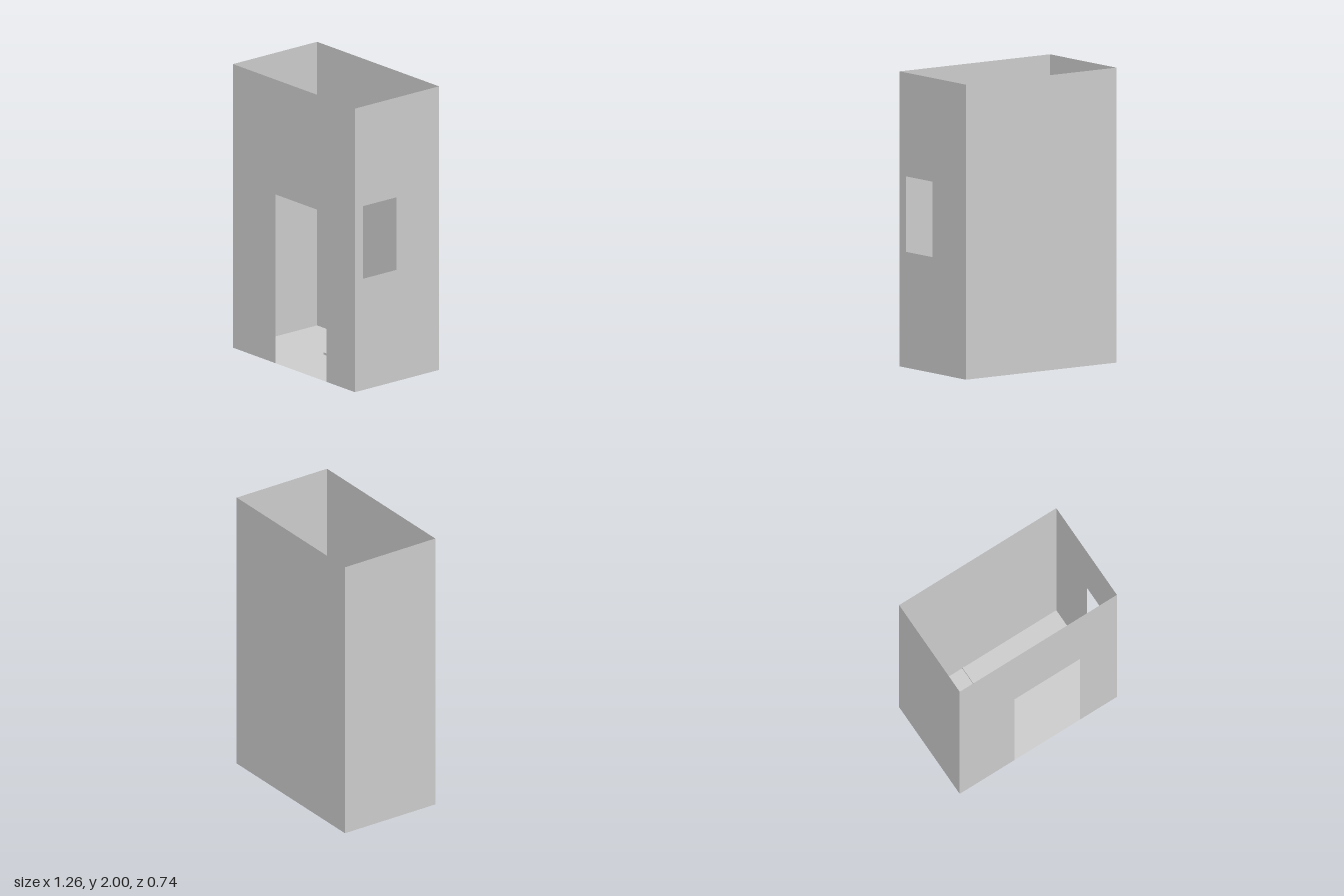
import * as THREE from 'three';

const W = 1.26, H = 2, D = 0.74;

export function createModel() {
  const group = new THREE.Group();
  const sheet = new THREE.MeshStandardMaterial({ color: 0xcccccc, side: THREE.DoubleSide });
  const solid = new THREE.MeshStandardMaterial({ color: 0xcccccc });

  const polygon = (points, Type = THREE.Shape) => new Type(points.map(([x, y]) => new THREE.Vector2(x, y)));
  const rectangle = (x0, y0, x1, y1, Type) => polygon([[x0, y0], [x1, y0], [x1, y1], [x0, y1]], Type);

  // Thin panel placed on one side of the room, facing outwards
  function panel(name, shape, position, rotX, rotY) {
    const mesh = new THREE.Mesh(new THREE.ShapeGeometry(shape), sheet);
    mesh.name = name;
    mesh.position.set(...position);
    mesh.rotation.set(rotX, rotY, 0);
    group.add(mesh);
  }

  // Front wall, notched by the doorway
  const front = polygon([
    [-W / 2, 0], [-0.19, 0], [-0.19, 1.19], [0.335, 1.19],
    [0.335, 0], [W / 2, 0], [W / 2, H], [-W / 2, H],
  ]);
  panel('frontWall', front, [0, 0, D / 2], 0, 0);

  // Side wall with the window opening
  const side = rectangle(-D / 2, 0, D / 2, H);
  side.holes.push(rectangle(-0.297, 0.785, -0.003, 1.297, THREE.Path));
  panel('leftWall', side, [W / 2, 0, 0], 0, Math.PI / 2);

  // Plain walls and floor; the top stays open
  panel('rightWall', rectangle(-D / 2, 0, D / 2, H), [-W / 2, 0, 0], 0, -Math.PI / 2);
  panel('backWall', rectangle(-W / 2, 0, W / 2, H), [0, 0, -D / 2], 0, Math.PI);
  panel('floor', rectangle(-W / 2, -D / 2, W / 2, D / 2), [0, 0, 0], Math.PI / 2, 0);

  // Low L-shaped curb around the back corner of the floor
  const curbShape = polygon([
    [-0.124, -0.003], [W / 2, -0.003], [W / 2, 0.009],
    [-0.111, 0.009], [-0.111, D / 2], [-0.124, D / 2],
  ]);
  const curb = new THREE.Mesh(
    new THREE.ExtrudeGeometry(curbShape, { depth: 0.015, bevelEnabled: false }), solid);
  curb.name = 'floorCurb';
  curb.rotation.x = -Math.PI / 2;
  group.add(curb);

  return group;
}
